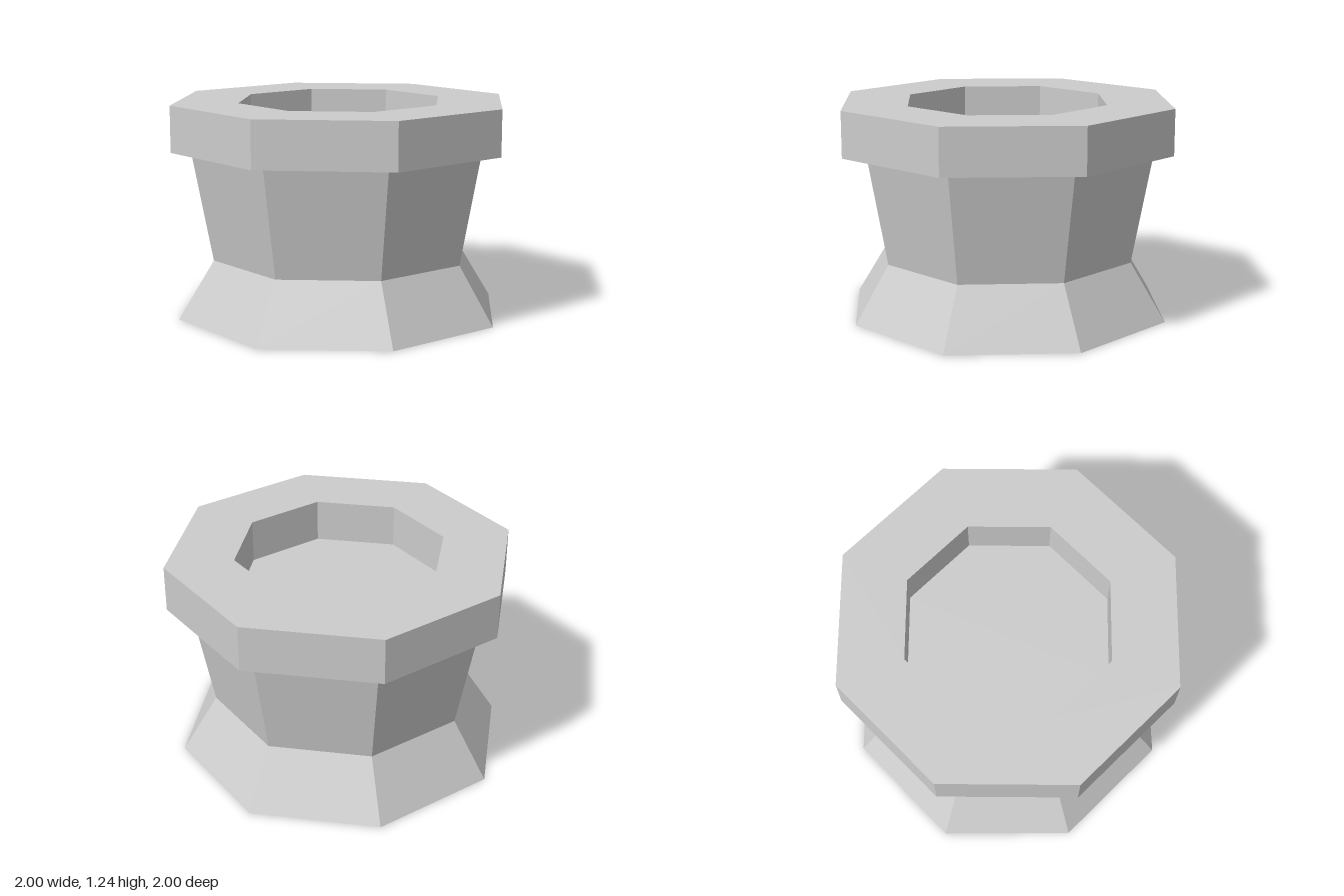
import * as THREE from 'three';

const SIDES = 8;
const material = new THREE.MeshStandardMaterial({ color: 0xcccccc, flatShading: true });

// Octagon outline with corners on the axes
function octagon(Type, radius) {
  const points = [];
  for (let i = 0; i < SIDES; i++) {
    const a = (i / SIDES) * Math.PI * 2;
    points.push(new THREE.Vector2(Math.cos(a) * radius, Math.sin(a) * radius));
  }
  return new Type(points);
}

// Solid lofted through [height, scale] rings, using one radius per corner
function loft(radii, rings) {
  const positions = [];
  const corner = ([y, scale], i) => {
    const k = i % SIDES;
    const a = (k / SIDES) * Math.PI * 2;
    return [Math.cos(a) * radii[k] * scale, y, Math.sin(a) * radii[k] * scale];
  };
  const tri = (a, b, c) => positions.push(...a, ...b, ...c);
  const bottom = rings[0];
  const top = rings[rings.length - 1];
  for (let i = 0; i < SIDES; i++) {
    for (let r = 0; r < rings.length - 1; r++) {
      const a = corner(rings[r], i), b = corner(rings[r], i + 1);
      const c = corner(rings[r + 1], i), d = corner(rings[r + 1], i + 1);
      tri(a, c, b);
      tri(b, c, d);
    }
    tri([0, bottom[0], 0], corner(bottom, i), corner(bottom, i + 1));
    tri([0, top[0], 0], corner(top, i + 1), corner(top, i));
  }
  const geometry = new THREE.BufferGeometry();
  geometry.setAttribute('position', new THREE.Float32BufferAttribute(positions, 3));
  geometry.computeVertexNormals();
  return geometry;
}

export function createModel() {
  const model = new THREE.Group();
  model.name = 'pedestal';

  // Flared foot and widening neck; its flat top is the floor of the recess
  const cornerRadii = [0.973, 0.945, 0.973, 0.975, 0.984, 0.975, 0.973, 0.96];
  const body = new THREE.Mesh(
    loft(cornerRadii, [[0, 1], [0.335, 0.784], [0.99, 0.91]]), material);
  body.name = 'body';
  model.add(body);

  // Thick octagonal rim around the recess
  const rimShape = octagon(THREE.Shape, 1);
  rimShape.holes.push(octagon(THREE.Path, 0.607));
  const rimGeometry = new THREE.ExtrudeGeometry(rimShape, { depth: 0.267, bevelEnabled: false });
  rimGeometry.rotateX(-Math.PI / 2);
  const rim = new THREE.Mesh(rimGeometry, material);
  rim.name = 'rim';
  rim.position.y = 0.973;
  model.add(rim);

  return model;
}
